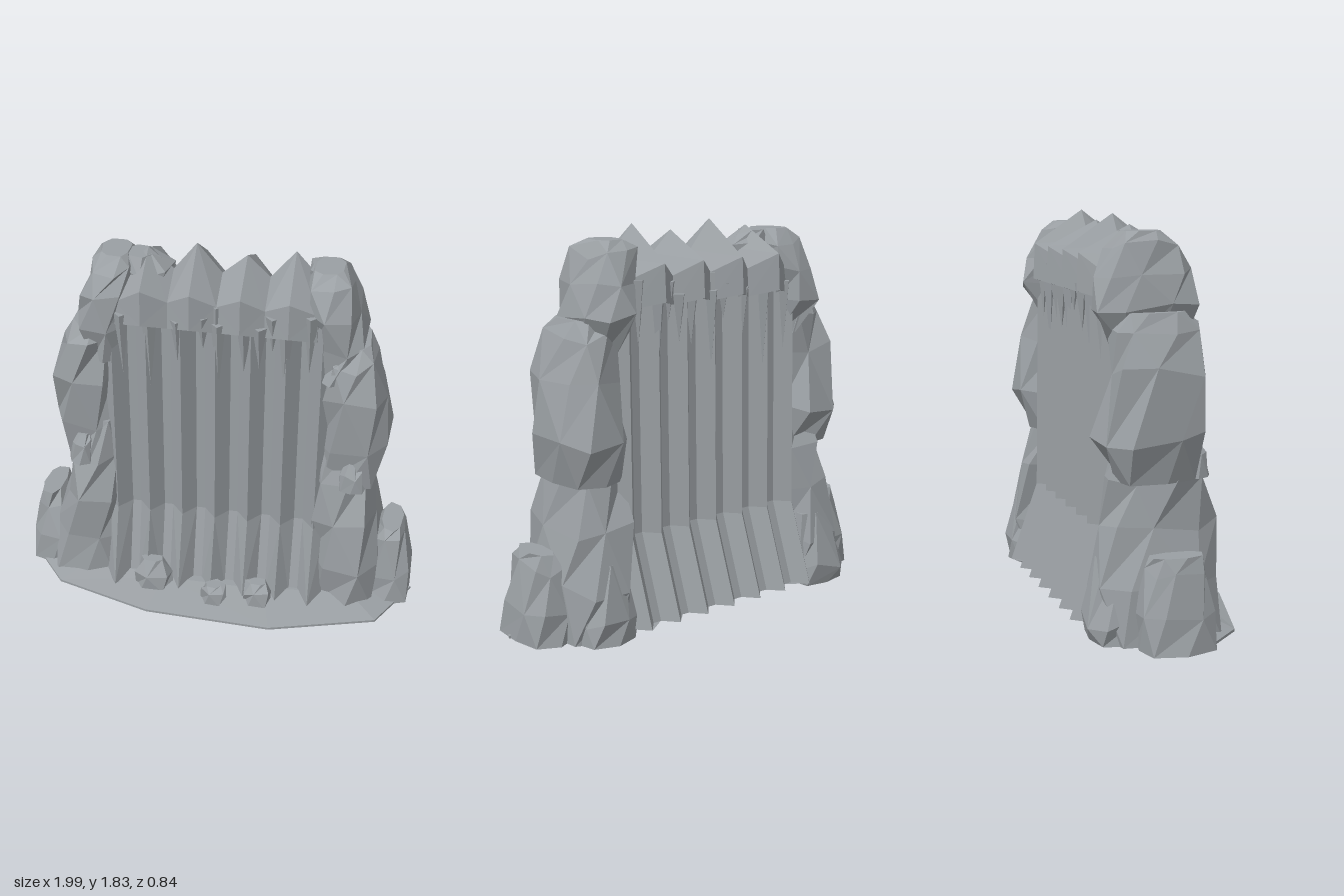
import * as THREE from 'three';

const stone = new THREE.MeshStandardMaterial({ color: 0x9a9fa3 });
stone.name = 'grey stone';

// small seeded generator
function seeded(seed) {
  let s = seed * 7919 + 17;
  return () => (s = (s * 16807) % 2147483647) / 2147483647;
}

// flat-shaded skin through a stack of closed rings, capped at both ends
function loft(rings) {
  const out = [];
  const tri = (...ps) => ps.forEach(p => out.push(p[0], p[1], p[2]));
  const n = rings[0].length;
  for (let i = 0; i < rings.length - 1; i++) {
    for (let j = 0; j < n; j++) {
      const k = (j + 1) % n;
      const a = rings[i][j], b = rings[i][k], c = rings[i + 1][k], d = rings[i + 1][j];
      if ((i + j) % 2) { tri(a, b, c); tri(a, c, d); } else { tri(a, b, d); tri(b, c, d); }
    }
  }
  for (const [ring, top] of [[rings[0], false], [rings[rings.length - 1], true]]) {
    const m = [0, 1, 2].map(q => ring.reduce((t, p) => t + p[q], 0) / n);
    for (let j = 0; j < n; j++) {
      const k = (j + 1) % n;
      if (top) tri(m, ring[j], ring[k]); else tri(m, ring[k], ring[j]);
    }
  }
  const g = new THREE.BufferGeometry();
  g.setAttribute('position', new THREE.Float32BufferAttribute(out, 3));
  g.computeVertexNormals();
  return g;
}

// craggy, slightly squared rock from levels of [y, x0, x1, z0, z1]; side = -1 mirrors it
function rock(levels, seed, side = 1, sides = 8, rough = 0.2) {
  const rnd = seeded(seed);
  for (let i = 0; i < 5; i++) rnd();
  const square = v => Math.sign(v) * Math.abs(v) ** 0.75;
  return loft(levels.map(([y, x0, x1, z0, z1], i) => {
    const ring = [];
    const edge = i === 0 || i === levels.length - 1;
    for (let j = 0; j < sides; j++) {
      const a = (j + i * 0.4) / sides * Math.PI * 2;
      const k = 1.06 - rnd() * rough;
      const x = side * (x0 + x1) / 2 + square(Math.cos(a)) * k * (x1 - x0) / 2;
      const z = (z0 + z1) / 2 - square(Math.sin(a)) * k * (z1 - z0) / 2;
      const dy = edge ? 0 : (rnd() - 0.5) * 0.06;
      ring.push([THREE.MathUtils.clamp(x, -1, 1), y + dy, z]);
    }
    return ring;
  }));
}

export function createModel() {
  const model = new THREE.Group();
  model.name = 'rockFalls';
  const add = (name, geometry) => {
    const m = new THREE.Mesh(geometry, stone);
    m.name = name;
    model.add(m);
    return m;
  };

  // curtain of sharp pleats, flaring at the foot: [y, front ridge, front groove, back ridge, back groove]
  const folds = (ridge, groove) => {
    const pts = [];
    for (let i = -3; i <= 3; i++) {
      const x = i * 0.163;
      pts.push([x - 0.06, groove], [x, ridge], [x + 0.06, groove]);
    }
    return pts;
  };
  add('curtain', loft([
    [0.04, 0.28, 0.19, -0.41, -0.34],
    [0.43, 0.14, 0.07, -0.27, -0.2],
    [1.6, 0.11, 0.04, -0.25, -0.18],
  ].map(([y, fr, fg, br, bg]) => [
    ...folds(fr, fg).map(([x, z]) => [x, y, z]),
    ...folds(br, bg).reverse().map(([x, z]) => [x, y, z]),
  ])));

  // crest of four peaked domes
  const crest = [];
  const column = (x, top, shoulder, front, back, hem) => crest.push([
    [x, top, -0.07], [x, shoulder, front], [x, hem, front + 0.01],
    [x, hem, back - 0.01], [x, shoulder, back],
  ]);
  column(-0.47, 1.66, 1.58, 0.09, -0.22, 1.47);
  [[-0.34, 1.79], [-0.115, 1.83], [0.115, 1.79], [0.335, 1.83]].forEach(([x, top], i) => {
    column(x, top, 1.67, 0.14, -0.31, 1.5);
    column([-0.225, 0, 0.22, 0.46][i], 1.69, 1.6, 0.09, -0.22, 1.47);
  });
  add('crest', loft(crest));

  // hanging spikes below the crest, front and back
  const spikes = [[-0.44, 1.53, 1.2], [-0.31, 1.5, 1.13], [-0.18, 1.52, 1.3], [-0.06, 1.55, 1.38],
    [0.01, 1.52, 1.15], [0.13, 1.5, 1.28], [0.2, 1.52, 1.3], [0.26, 1.58, 1.4],
    [0.32, 1.52, 1.17], [0.43, 1.6, 1.3]];
  for (const [x, top, tip] of spikes) {
    for (const z of [0.1, -0.24]) {
      const g = new THREE.ConeGeometry(0.035, top - tip, 4).rotateX(Math.PI).toNonIndexed();
      g.computeVertexNormals();
      add('spike', g).position.set(x, (top + tip) / 2, z);
    }
  }

  // rock pillars either side
  const pillar = {
    lowerPillar: [[0, 0.47, 0.86, -0.34, 0.25], [0.24, 0.46, 0.84, -0.39, 0.25],
      [0.5, 0.46, 0.79, -0.33, 0.22], [0.72, 0.46, 0.76, -0.27, 0.18], [0.92, 0.47, 0.72, -0.2, 0.12]],
    middlePillar: [[0.7, 0.48, 0.78, -0.26, 0.16], [0.9, 0.47, 0.83, -0.34, 0.16],
      [1.18, 0.48, 0.8, -0.28, 0.18], [1.36, 0.5, 0.74, -0.27, 0.16], [1.43, 0.55, 0.7, -0.2, 0.09]],
    upperPillar: [[1.27, 0.45, 0.61, -0.23, 0.14], [1.44, 0.43, 0.68, -0.33, 0.16],
      [1.6, 0.4, 0.65, -0.29, 0.14], [1.71, 0.38, 0.61, -0.24, 0.1], [1.77, 0.42, 0.56, -0.16, 0.02]],
    outerBoulder: [[0, 0.72, 1, -0.24, 0.15], [0.15, 0.74, 0.98, -0.22, 0.14],
      [0.34, 0.78, 0.94, -0.19, 0.1], [0.41, 0.81, 0.92, -0.17, 0.07]],
    rearBoulder: [[0, 0.5, 0.8, -0.38, -0.1], [0.1, 0.5, 0.8, -0.4, -0.1],
      [0.36, 0.52, 0.74, -0.34, -0.1]],
    knob: [[0.7, 0.59, 0.73, 0.03, 0.19], [0.8, 0.6, 0.71, 0.04, 0.18], [0.85, 0.62, 0.68, 0.07, 0.14]],
  };
  for (const side of [1, -1]) {
    const label = side > 0 ? 'left' : 'right';
    Object.entries(pillar).forEach(([name, levels], i) => {
      add(label + name[0].toUpperCase() + name.slice(1), rock(levels, 11 + i * 5 + side * 3, side));
    });
  }

  // loose caps on the crest corners
  add('rightCap', rock([[1.6, 0.24, 0.46, -0.17, 0.02], [1.7, 0.22, 0.46, -0.17, 0.04],
    [1.765, 0.32, 0.44, -0.14, 0]], 71, -1, 6));
  add('leftCap', rock([[1.62, 0.38, 0.56, -0.18, 0.02], [1.76, 0.4, 0.53, -0.15, 0]], 75, 1, 6));

  // thin sloping foot slab, hollow beneath
  const outline = [[-0.98, 0.03], [-0.78, 0.27], [-0.3, 0.41], [0.32, 0.43], [0.83, 0.28], [0.99, 0],
    [0.6, -0.1], [-0.6, -0.1]];
  const rim = y => outline.map(([x, z]) => [x, y, z]);
  const inner = y => outline.map(([x, z]) => [x * 0.82, y, Math.min(z * 0.55, 0.22)]);
  add('footSlab', loft([inner(0.055), rim(0), rim(0.012), inner(0.07)]));

  // pebbles at the foot of the curtain: [x, z, half width, top]
  [[-0.3, 0.25, 0.1, 0.2], [0.02, 0.3, 0.065, 0.12], [0.24, 0.28, 0.075, 0.155]].forEach(([x, z, r, top], i) => {
    add('pebble', rock([[0.03, x - r, x + r, z - 0.06, z + 0.05],
      [0.06 + top * 0.3, x - r, x + r, z - 0.06, z + 0.05],
      [top, x - r * 0.6, x + r * 0.6, z - 0.05, z + 0.01]], 90 + i, 1, 6));
  });
  return model;
}
